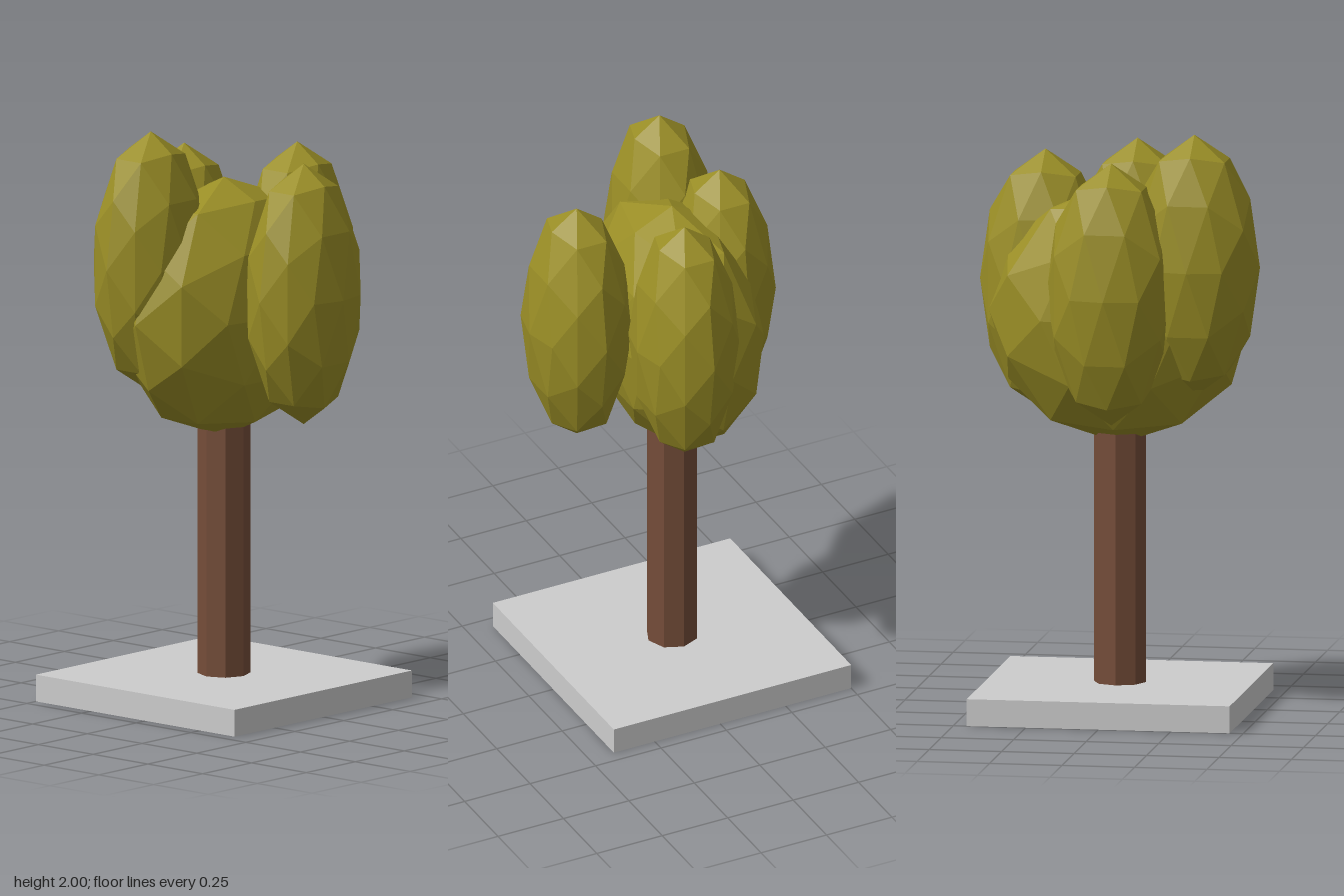
import * as THREE from 'three';

export function createModel() {
  const tree = new THREE.Group();
  tree.name = 'tree';

  const material = (name, color) => {
    const m = new THREE.MeshStandardMaterial({ color, flatShading: true });
    m.name = name;
    return m;
  };
  const leaf = material('olive leaf', 0x9a8e26);
  const bark = material('brown bark', 0x754d39);
  const stone = material('pale grey stone', 0xcccccc);

  const AXIS_Z = -0.047; // base, trunk and crown share this line

  const add = (name, geometry, mat, x, y, z) => {
    const mesh = new THREE.Mesh(geometry, mat);
    mesh.name = name;
    mesh.position.set(x, y, z);
    tree.add(mesh);
    return mesh;
  };

  // square base slab
  add('base', new THREE.BoxGeometry(0.907, 0.093, 0.907), stone, 0, 0.0465, AXIS_Z);

  // eight-sided trunk, running up into the crown
  add('trunk', new THREE.CylinderGeometry(0.09, 0.09, 0.95, 8), bark, 0, 0.555, AXIS_Z);

  // faceted leaf clumps: stretched low-poly spheres
  const ball = new THREE.IcosahedronGeometry(1, 1).rotateY(Math.PI / 2);
  const clump = (name, x, y, z, rx, ry, rz) =>
    add(name, ball, leaf, x, y, z).scale.set(rx, ry, rz);

  clump('crownCentre', 0, 1.365, AXIS_Z, 0.453, 0.45, 0.27);
  const outer = [
    ['crownFront', 0, 1.457, 0.317],
    ['crownBack', 0, 1.457, -0.229],
    ['crownLeft', 0.272, 1.457, 0.044],
    ['crownRight', -0.272, 1.549, -0.138],
  ];
  for (const [name, x, y, z] of outer) clump(name, x, y, z, 0.226, 0.452, 0.181);

  return tree;
}
